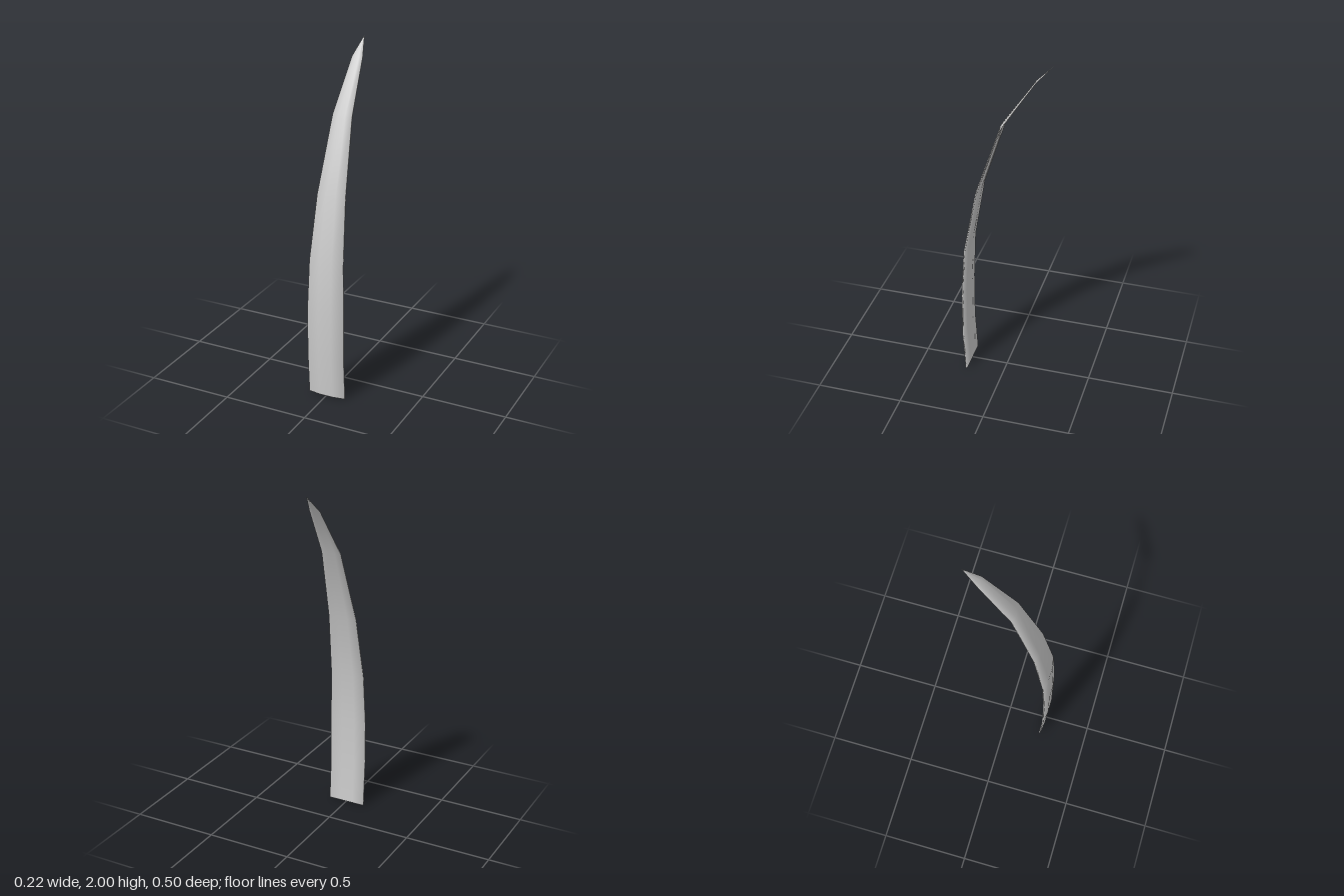
import * as THREE from 'three';

// Stations along the blade: height, half width, z of the front crest, thickness
const STATIONS = [
  [0, 0.112, 0.235, 0.019],
  [0.25, 0.112, 0.25, 0.019],
  [0.53, 0.112, 0.25, 0.019],
  [0.83, 0.103, 0.236, 0.019],
  [1.2, 0.085, 0.17, 0.017],
  [1.62, 0.058, 0.032, 0.013],
  [1.9, 0.032, -0.155, 0.007],
  [2, 0, -0.25, 0],
];

// Cross-section loop: x and depth as fractions, then the normal's x and z
const SECTION = [
  [1, -1, 0.7, -0.7], [1, -0.55, 0.7, 0.7],
  [0.36, 0, 0.12, 1], [-0.36, 0, -0.12, 1],
  [-1, -0.55, -0.7, 0.7], [-1, -1, -0.7, -0.7],
  [-0.36, -1, 0, -1], [0.36, -1, 0, -1],
];

function geometryFrom(position, normal, index) {
  const g = new THREE.BufferGeometry();
  g.setAttribute('position', new THREE.Float32BufferAttribute(position, 3));
  g.setAttribute('normal', new THREE.Float32BufferAttribute(normal, 3));
  g.setIndex(index);
  return g;
}

export function createModel() {
  const group = new THREE.Group();
  group.name = 'curvedBlade';
  const material = new THREE.MeshStandardMaterial({ color: 0xcccccc });
  const n = SECTION.length;
  const last = STATIONS.length - 1;

  // Smooth blade skin lofted through the stations
  const pos = [], nor = [], idx = [];
  STATIONS.forEach(([y, w, z, t], i) => {
    const a = STATIONS[Math.max(i - 1, 0)];
    const b = STATIONS[Math.min(i + 1, last)];
    const lean = Math.atan2(b[2] - a[2], b[0] - a[0]);
    for (const [sx, sz, nx, nz] of SECTION) {
      pos.push(sx * w, y, z + sz * t);
      const v = new THREE.Vector3(nx, -nz * Math.sin(lean), nz * Math.cos(lean)).normalize();
      nor.push(v.x, v.y, v.z);
    }
    if (i === last) return;
    for (let j = 0; j < n; j++) {
      const p = i * n + j, q = i * n + (j + 1) % n;
      idx.push(p, p + n, q);
      if (i < last - 1) idx.push(q, p + n, q + n);
    }
  });
  const blade = new THREE.Mesh(geometryFrom(pos, nor, idx), material);
  blade.name = 'blade';
  group.add(blade);

  // Flat end at the base
  const capIdx = [];
  for (let j = 1; j < n - 1; j++) capIdx.push(0, j, j + 1);
  const capNormals = SECTION.flatMap(() => [0, -1, 0]);
  const cap = new THREE.Mesh(geometryFrom(pos.slice(0, n * 3), capNormals, capIdx), material);
  cap.name = 'baseCap';
  group.add(cap);

  return group;
}
